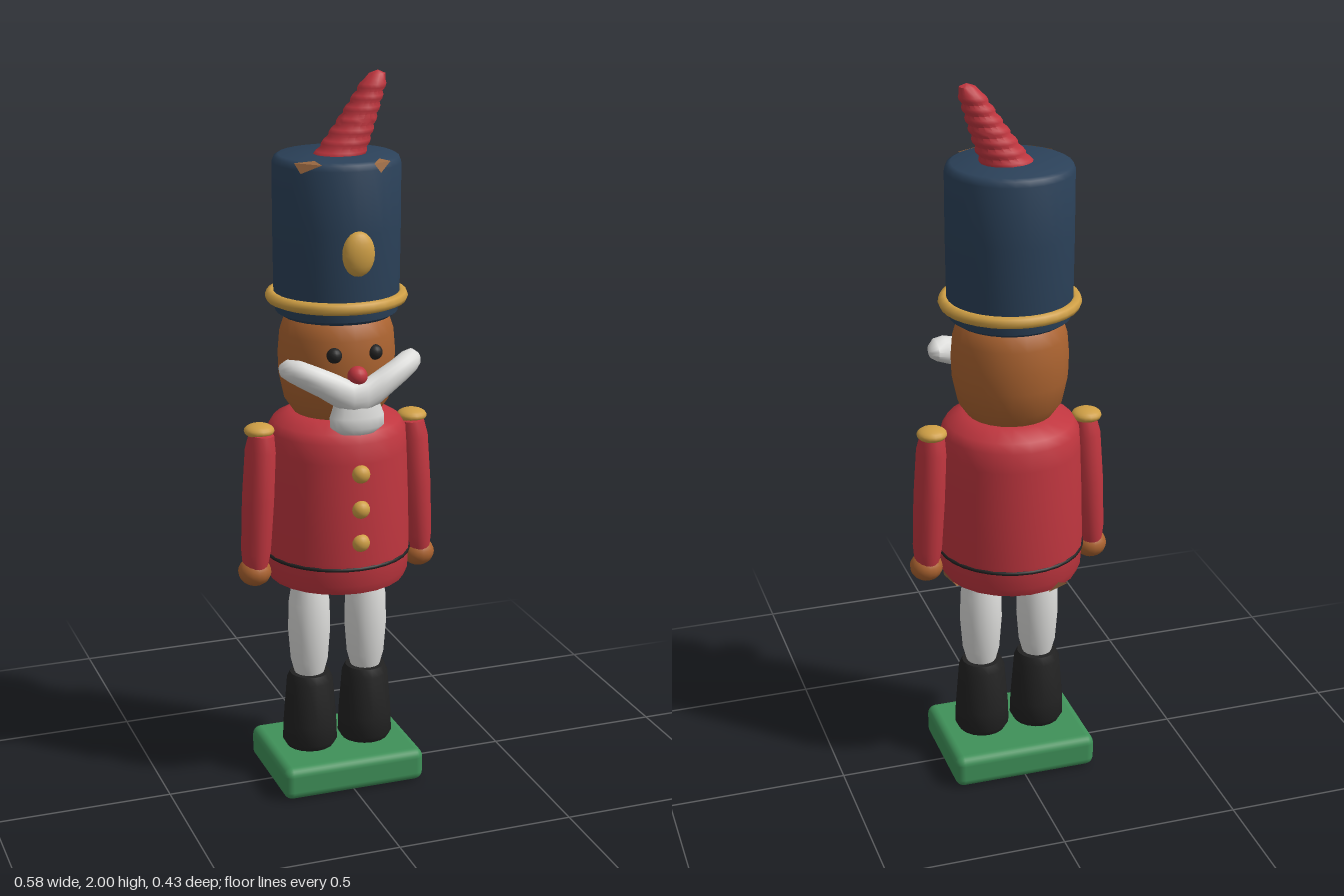
import * as THREE from 'three';
import { toCreasedNormals } from 'three/addons/utils/BufferGeometryUtils.js';
import { RoundedBoxGeometry } from 'three/addons/geometries/RoundedBoxGeometry.js';

const mat = (name, color, side = THREE.FrontSide) => {
  const m = new THREE.MeshStandardMaterial({ color, side });
  m.name = name;
  return m;
};
const red = mat('coat red', 0xc0363f);
const blue = mat('hat blue', 0x2b4159);
const gold = mat('gold', 0xcf9f45);
const skin = mat('skin brown', 0xab6330);
const white = mat('white', 0xdcdcda);
const black = mat('black', 0x222222);
const green = mat('base green', 0x3f9159);
const wood = mat('bare wood', 0x9c6a42, THREE.DoubleSide);

const AXIS_Z = -0.007; // the body and hat sit slightly behind centre

export function createModel() {
  const model = new THREE.Group();
  model.name = 'toySoldier';

  const add = (name, geometry, material, x = 0, y = 0, z = 0) => {
    const mesh = new THREE.Mesh(geometry, material);
    mesh.name = name;
    mesh.position.set(x, y, z);
    model.add(mesh);
    return mesh;
  };
  // Turned part: profile of [radius, height], bottom to top
  const turned = (profile, sides = 24) => toCreasedNormals(
    new THREE.LatheGeometry(profile.map(([r, y]) => new THREE.Vector2(r, y)), sides), 0.75);
  const ball = (name, material, x, y, z, rx, ry = rx, rz = rx) => {
    const mesh = add(name, new THREE.SphereGeometry(1, 16, 12), material, x, y, z);
    mesh.scale.set(rx, ry, rz);
    return mesh;
  };
  const ring = (name, material, y, radius, tube) => {
    const mesh = add(name, new THREE.TorusGeometry(radius, tube, 8, 32), material, 0, y, AXIS_Z);
    mesh.rotation.x = Math.PI / 2;
    return mesh;
  };

  // Base
  add('base', new RoundedBoxGeometry(0.415, 0.095, 0.33, 3, 0.025), green, 0, 0.0475, -0.005);

  // Coat body, belt line and buttons
  add('coat', turned([[0, 0.6], [0.165, 0.6], [0.19, 0.61], [0.2, 0.635], [0.203, 0.7], [0.199, 0.85],
    [0.194, 0.98], [0.19, 1.035], [0.175, 1.06], [0.13, 1.085], [0, 1.09]]), red, 0, 0, AXIS_Z);
  ring('beltLine', black, 0.685, 0.2, 0.006);
  for (const y of [0.76, 0.855, 0.955]) ball('button', gold, 0, y, 0.19, 0.025, 0.025, 0.022);

  // Legs and arms, mirrored
  for (const s of [-1, 1]) {
    const side = s > 0 ? 'left' : 'right';
    add(side + 'Boot', turned([[0, 0.095], [0.068, 0.097], [0.078, 0.115], [0.076, 0.17],
      [0.066, 0.295], [0.056, 0.318], [0, 0.322]], 18), black, s * 0.083, 0, 0);
    add(side + 'Leg', turned([[0, 0.3], [0.04, 0.31], [0.053, 0.36], [0.06, 0.45],
      [0.058, 0.53], [0.046, 0.6], [0, 0.62]], 18), white, s * 0.084, 0, 0);

    const sleeve = add(side + 'Sleeve', turned([[0, 0], [0.042, 0.005], [0.05, 0.05], [0.055, 0.2],
      [0.053, 0.34], [0.042, 0.385], [0, 0.395]], 16), red, s * 0.241, 0.65, 0);
    sleeve.rotation.z = s * 0.06;
    sleeve.scale.x = 0.8;
    ball(side + 'Hand', skin, s * 0.242, 0.64, 0, 0.046, 0.04, 0.048);
    ball(side + 'Epaulette', gold, s * 0.222, 1.043, -0.008, 0.042, 0.02, 0.042);
  }

  // Head and face
  add('head', turned([[0, 1.07], [0.115, 1.08], [0.143, 1.12], [0.158, 1.19], [0.16, 1.25],
    [0.155, 1.31], [0.142, 1.35], [0.12, 1.37], [0, 1.375]]), skin, 0, 0, AXIS_Z);
  for (const s of [-1, 1]) ball('eye', black, s * 0.057, 1.275, 0.137, 0.021);
  ball('nose', red, 0, 1.22, 0.16, 0.027);

  // Moustache: elliptical sections running across the face
  const wing = [[0.02, 1.165, 0.165, 0.045, 0.03], [0.06, 1.185, 0.16, 0.046, 0.032],
    [0.105, 1.21, 0.15, 0.041, 0.036], [0.145, 1.228, 0.13, 0.038, 0.042],
    [0.175, 1.237, 0.112, 0.03, 0.042], [0.193, 1.237, 0.103, 0.017, 0.024], [0.199, 1.237, 0.1, 0, 0]];
  const rightWing = wing.map(([x, ...rest]) => [-x, ...rest]).reverse();
  add('moustache', loft([...rightWing, ...wing], new THREE.Vector3(0, 1, 0), new THREE.Vector3(0, 0, 1)), white);

  // Beard below the moustache, widening at the tip
  const beard = [[0, 1.06, 0.158, 0, 0], [0, 1.064, 0.158, 0.03, 0.05], [0, 1.082, 0.158, 0.04, 0.075],
    [0, 1.11, 0.156, 0.04, 0.076], [0, 1.14, 0.154, 0.034, 0.065], [0, 1.18, 0.152, 0.03, 0.07], [0, 1.2, 0.15, 0, 0]];
  add('beard', loft(beard, new THREE.Vector3(0, 0, 1), new THREE.Vector3(1, 0, 0)), white);

  // Tall hat with band and badge
  add('hat', turned([[0, 1.355], [0.15, 1.355], [0.165, 1.365], [0.17, 1.4], [0.172, 1.6],
    [0.172, 1.765], [0.166, 1.78], [0.155, 1.786], [0, 1.787]], 28), blue, 0, 0, AXIS_Z);
  ring('hatBand', gold, 1.405, 0.176, 0.017);
  ball('hatBadge', gold, 0, 1.55, 0.165, 0.045, 0.06, 0.027);

  // Ridged plume, leaning to the left
  const plume = [];
  const steps = 21;
  for (let i = 0; i <= steps; i++) {
    const t = i / steps;
    const r = 0.064 - 0.033 * t + (i % 3 === 0 ? -0.003 : 0.002);
    plume.push([0.105 * Math.pow(t, 0.9), 1.775 + 0.2 * t, -0.003, r * 0.95, r * (1.12 - 0.08 * t)]);
  }
  plume.push([0.112, 1.991, -0.003, 0.02, 0.022], [0.114, 2, -0.003, 0, 0]);
  add('plume', loft(plume, new THREE.Vector3(0, 0, 1), new THREE.Vector3(1, 0, 0)), red);

  // Worn chips on the hat rim and coat hem
  const chip = (name, angle, half, rows) => {
    const pos = [];
    const at = ([r, y], a) => [r * Math.sin(a), y, r * Math.cos(a)];
    const [tip, edge, inner] = rows;
    const a = at(edge, angle - half), b = at(edge, angle + half);
    pos.push(...at(tip, angle - half * 0.4), ...b, ...a, ...a, ...b, ...at(inner, angle + half * 0.3));
    const geometry = new THREE.BufferGeometry();
    geometry.setAttribute('position', new THREE.Float32BufferAttribute(pos, 3));
    geometry.computeVertexNormals();
    add(name, geometry, wood, 0, 0, AXIS_Z);
  };
  const rim = [[0.175, 1.757], [0.17, 1.782], [0.148, 1.789]];
  chip('hatChip', -0.8, 0.24, rim);
  chip('hatChip', 0.45, 0.18, rim);
  const hem = [[0.204, 0.635], [0.194, 0.608], [0.15, 0.597]];
  chip('coatChip', 1.78, 0.2, hem);
  chip('coatChip', -2.66, 0.2, hem);

  return model;
}

// Skin over elliptical sections [x, y, z, radiusU, radiusV], advancing along u cross v
function loft(sections, u, v, sides = 18) {
  const pos = [], index = [];
  sections.forEach(([x, y, z, ru, rv], i) => {
    for (let j = 0; j < sides; j++) {
      const a = (j / sides) * Math.PI * 2;
      const p = new THREE.Vector3(x, y, z)
        .addScaledVector(u, ru * Math.cos(a)).addScaledVector(v, rv * Math.sin(a));
      pos.push(p.x, p.y, p.z);
      if (i === sections.length - 1) continue;
      const k = i * sides + j, n = i * sides + (j + 1) % sides;
      index.push(k, n, k + sides, n, n + sides, k + sides);
    }
  });
  const geometry = new THREE.BufferGeometry();
  geometry.setAttribute('position', new THREE.Float32BufferAttribute(pos, 3));
  geometry.setIndex(index);
  return toCreasedNormals(geometry, 1);
}
